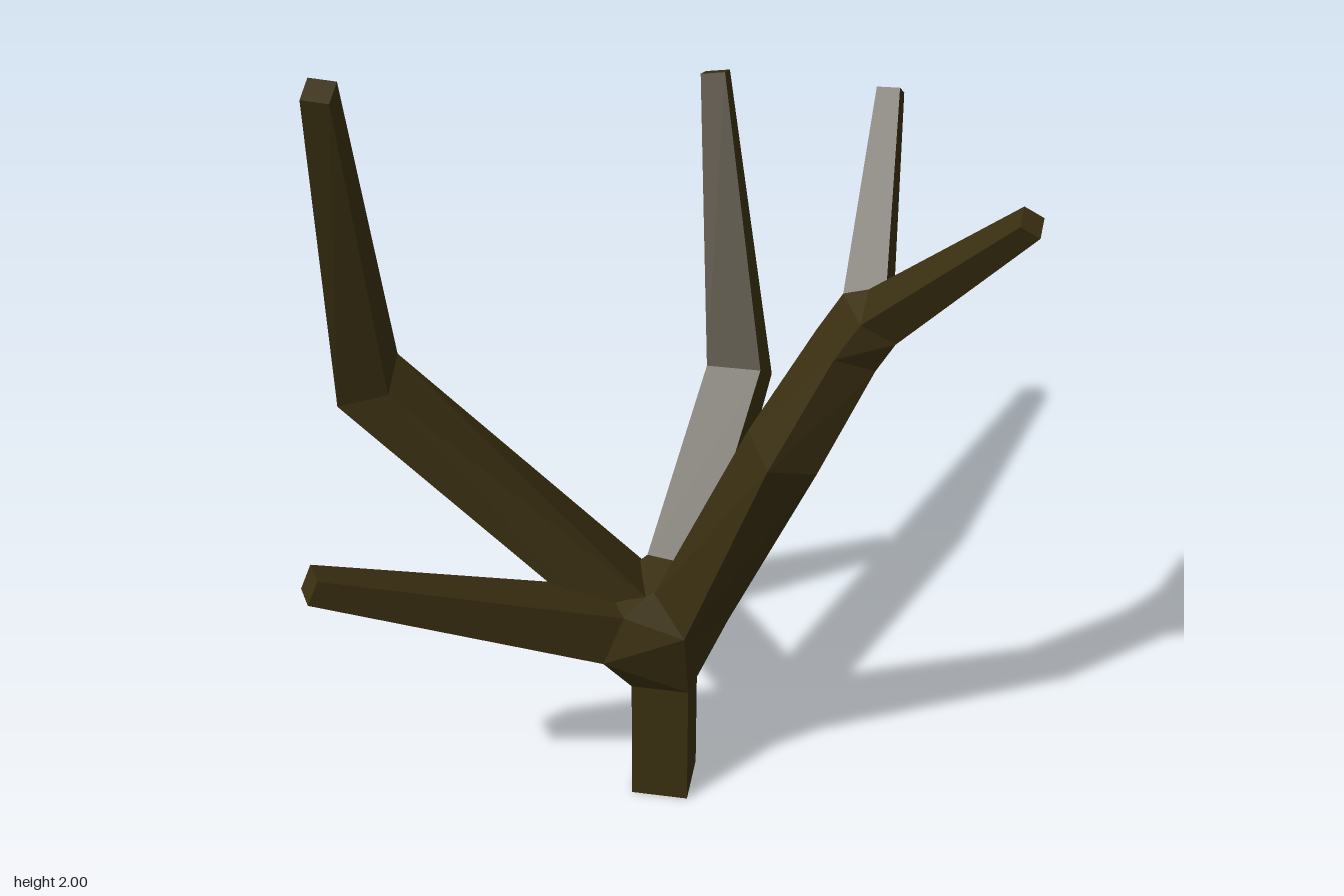
import * as THREE from 'three';
import { ConvexGeometry } from 'three/addons/geometries/ConvexGeometry.js';

const V = (p) => new THREE.Vector3(...p);

// Four corners of a square section at c, facing n, with one corner towards hint
function ring(c, n, r, hint) {
  const u = hint.clone().addScaledVector(n, -hint.dot(n)).normalize();
  const v = n.clone().cross(u);
  return [[u, r], [v, r], [u, -r], [v, -r]].map(([d, s]) => c.clone().addScaledVector(d, s));
}

// Mitred sections along a path of [x, y, z, radius, optional hint]
function sections(path, hint) {
  const pts = path.map((p) => V(p.slice(0, 3)));
  const dir = (i) => pts[i + 1].clone().sub(pts[i]).normalize();
  return path.map((p, i) => {
    const n = new THREE.Vector3();
    if (i > 0) n.add(dir(i - 1));
    if (i < path.length - 1) n.add(dir(i));
    return ring(pts[i], n.normalize(), p[3], V(p[4] || hint));
  });
}

// Square tube through the sections, capped at both ends
function tube(rings) {
  const pos = [];
  const quad = (a, b, c, d) => [a, b, c, a, c, d].forEach((p) => pos.push(p.x, p.y, p.z));
  for (let k = 0; k < rings.length - 1; k++) {
    const a = rings[k], b = rings[k + 1];
    for (let i = 0; i < 4; i++) {
      const j = (i + 1) % 4;
      quad(a[i], a[j], b[j], b[i]);
    }
  }
  const s = rings[0], e = rings[rings.length - 1];
  quad(s[3], s[2], s[1], s[0]);
  quad(e[0], e[1], e[2], e[3]);
  const g = new THREE.BufferGeometry();
  g.setAttribute('position', new THREE.Float32BufferAttribute(pos, 3));
  g.computeVertexNormals();
  return g;
}

export function createModel() {
  const group = new THREE.Group();
  const bark = new THREE.MeshStandardMaterial({ color: 0x3a2f11 });
  bark.name = 'darkBark';
  bark.flatShading = true;

  const add = (name, geometry) => {
    const mesh = new THREE.Mesh(geometry, bark);
    mesh.name = name;
    group.add(mesh);
  };
  const limb = (name, hint, path) => {
    const rings = sections(path, hint);
    add(name, tube(rings));
    return rings;
  };
  const X = [1, 0, 0];

  // Trunk and the four main limbs
  const trunk = limb('trunk', X, [[0.112, 0, -0.095, 0.093], [0.112, 0.335, -0.095, 0.093]]);
  const tall = limb('tallBackBranch', X, [
    [0.05, 0.545, -0.16, 0.092], [-0.375, 1.11, -0.525, 0.088], [-0.557, 1.99, -0.296, 0.041]]);
  const low = limb('lowBranch', [0, 1, 1], [
    [-0.03, 0.52, -0.13, 0.09], [-0.66, 0.805, -0.325, 0.045]]);
  const side = limb('sideBackBranch', X, [
    [0.2, 0.56, -0.155, 0.092], [0.522, 0.86, -0.373, 0.09], [0.635, 1.49, -0.638, 0.04]]);
  const front = limb('frontBranch', [0.6, 0, 1], [
    [0.135, 0.56, -0.028, 0.09, [1, 0, 1]], [0.185, 1.13, 0.22, 0.085], [0.3, 1.37, 0.27, 0.074]]);

  // Twigs at the end of the front branch
  const twigA = limb('frontTwig', X, [
    [0.34, 1.47, 0.33, 0.062], [0.418, 1.83, 0.65, 0.034]]);
  const twigB = limb('backTwig', X, [
    [0.37, 1.46, 0.25, 0.062], [0.568, 1.785, 0.05, 0.034]]);

  // Faceted joints wrapped around the sections that meet there
  add('mainJoint', new ConvexGeometry([trunk[1], tall[0], low[0], side[0], front[0]].flat()));
  add('twigJoint', new ConvexGeometry([front[2], twigA[0], twigB[0]].flat()));

  return group;
}
